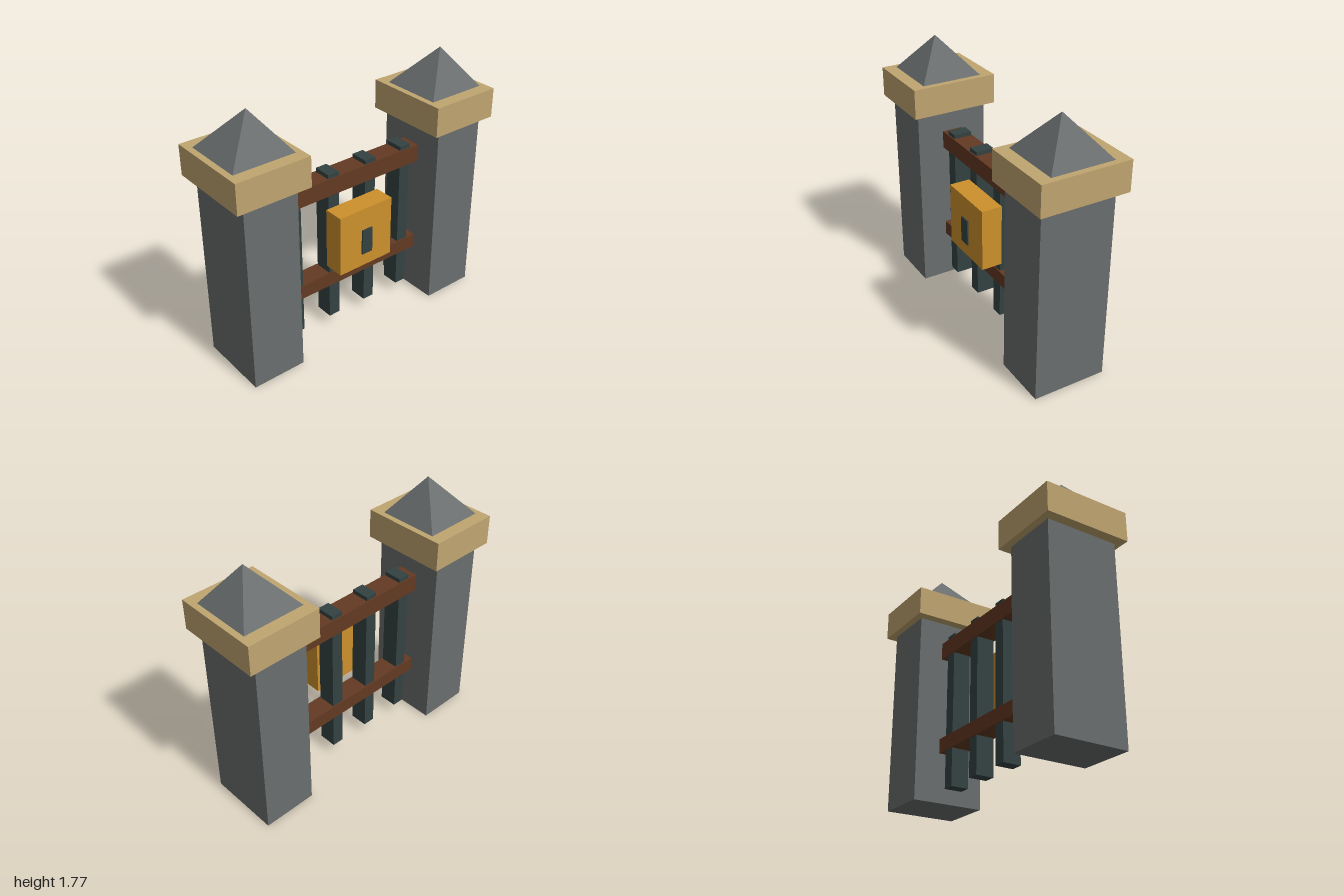
import * as THREE from 'three';

const material = (name, color) => {
  const m = new THREE.MeshStandardMaterial({ color });
  m.name = name;
  return m;
};

// Box given by its extents along each axis
function block(name, mat, [x0, x1], [y0, y1], [z0, z1]) {
  const mesh = new THREE.Mesh(new THREE.BoxGeometry(x1 - x0, y1 - y0, z1 - z0), mat);
  mesh.position.set((x0 + x1) / 2, (y0 + y1) / 2, (z0 + z1) / 2);
  mesh.name = name;
  return mesh;
}

// Square pyramid with its tip slightly off centre
function pyramid(half, height, tipX, tipZ) {
  const cone = new THREE.ConeGeometry(half * Math.SQRT2, height, 4);
  cone.rotateY(Math.PI / 4).translate(0, height / 2, 0);
  const geo = cone.toNonIndexed();
  const p = geo.attributes.position;
  for (let i = 0; i < p.count; i++) {
    if (p.getY(i) > height / 2) p.setXYZ(i, tipX, height, tipZ);
  }
  geo.computeVertexNormals();
  return geo;
}

export function createModel() {
  const stone = material('grey stone', 0x6a6e6e);
  const sandstone = material('sandstone', 0xc0a570);
  const wood = material('brown wood', 0x633a22);
  const iron = material('dark iron', 0x344242);
  const brass = material('brass', 0xcd902c);

  const model = new THREE.Group();
  model.name = 'gate';

  // Two pillars, each with a cap and a pointed roof
  for (const [side, x] of [['right', -0.748], ['left', 0.746]]) {
    const pillar = new THREE.Group();
    pillar.name = `${side}Pillar`;
    pillar.position.x = x;
    const roof = new THREE.Mesh(pyramid(0.211, 0.262, 0.016, 0.02), stone);
    roof.name = 'roof';
    roof.position.y = 1.513;
    pillar.add(
      block('shaft', stone, [-0.186, 0.186], [0, 1.312], [-0.25, 0.25]),
      block('cap', sandstone, [-0.252, 0.252], [1.31, 1.513], [-0.298, 0.298]),
      roof
    );
    model.add(pillar);
  }

  // Cross rails
  model.add(
    block('upperRail', wood, [-0.565, 0.563], [1.03, 1.15], [-0.075, 0.068]),
    block('lowerRail', wood, [-0.565, 0.563], [0.34, 0.44], [-0.075, 0.068])
  );

  // Vertical bars
  for (let i = 0; i < 4; i++) {
    const x = -0.452 + i * 0.3;
    model.add(block(`bar${i + 1}`, iron, [x - 0.042, x + 0.042], [0.08, 1.178], [-0.066, 0.06]));
  }

  // Lock plate and its keyhole
  model.add(
    block('lockPlate', brass, [-0.213, 0.21], [0.506, 0.935], [0.06, 0.203]),
    block('keyhole', iron, [-0.042, 0.04], [0.604, 0.785], [0.208, 0.218])
  );

  return model;
}
